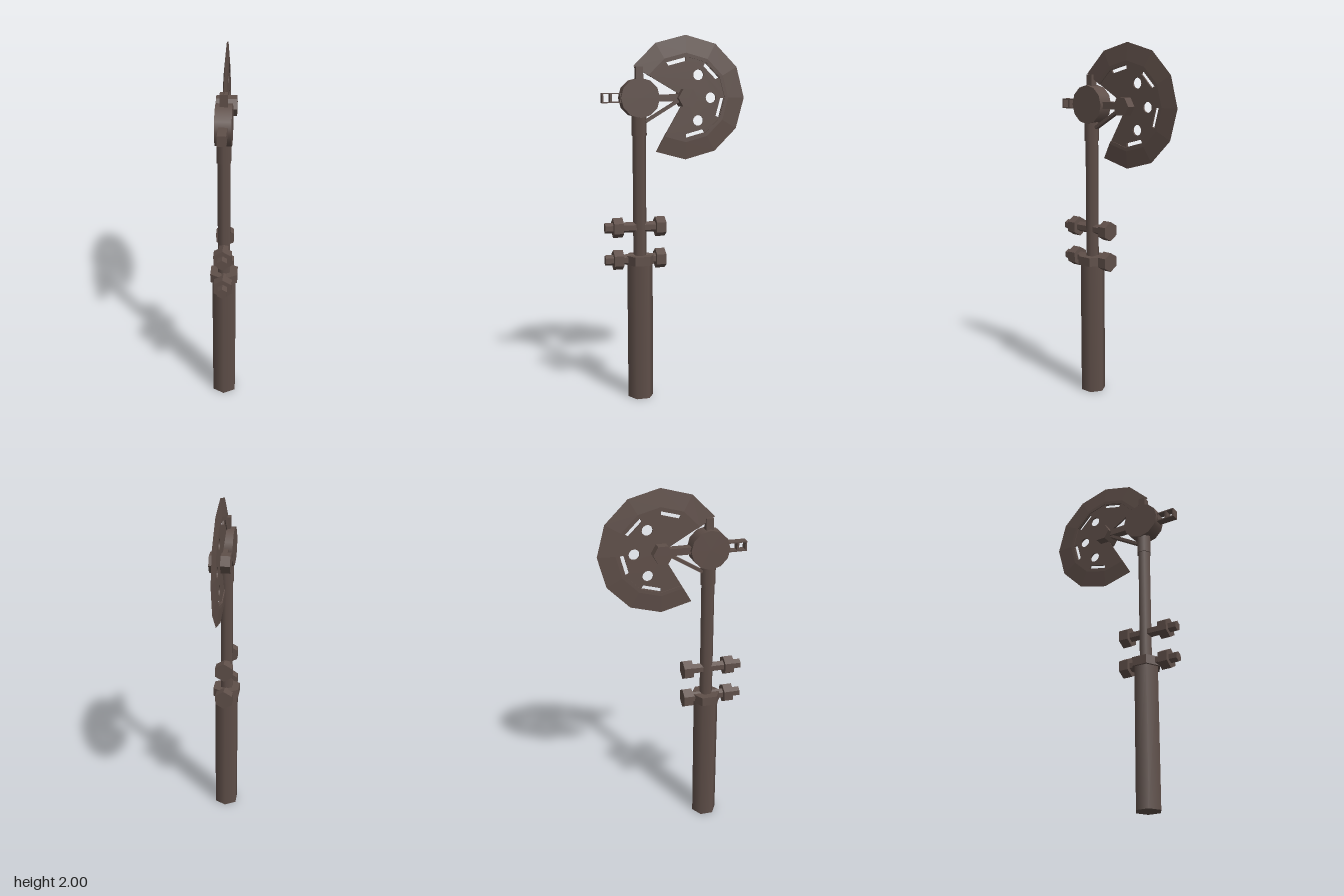
import * as THREE from 'three';

const RAD = Math.PI / 180;
const AXIS = 0.195; // z of the shaft
const HUB = { y: 1.666, z: -0.064 }; // centre of the blade

export function createModel() {
  const group = new THREE.Group();
  const metal = new THREE.MeshStandardMaterial({ color: 0x5f4f49, side: THREE.DoubleSide });
  metal.name = 'darkBrownMetal';

  const add = (name, geo, x = 0, y = 0, z = 0) => {
    const mesh = new THREE.Mesh(geo, metal);
    mesh.name = name;
    mesh.position.set(x, y, z);
    group.add(mesh);
    return mesh;
  };
  const flat = (geo) => {
    const g = geo.index ? geo.toNonIndexed() : geo;
    g.computeVertexNormals();
    return g;
  };
  // upright hexagonal bar between two heights
  const upright = (name, r, y0, y1, faceted = false) => {
    const geo = new THREE.CylinderGeometry(r, r, y1 - y0, 6);
    return add(name, faceted ? flat(geo) : geo, 0, (y0 + y1) / 2, AXIS);
  };
  // hexagonal bar along z, corners at top and bottom
  const alongZ = (name, r, z0, z1, y) =>
    add(name, flat(new THREE.CylinderGeometry(r, r, z1 - z0, 6).rotateX(Math.PI / 2)), 0, y, (z0 + z1) / 2);
  // side-on shape (u towards the back, v up) extruded across x
  const sidePlate = (shape, width) =>
    new THREE.ExtrudeGeometry(shape, { depth: width, bevelEnabled: false, curveSegments: 8 })
      .translate(0, 0, -width / 2).rotateY(Math.PI / 2);
  const polygon = (Type, pts) => new Type(pts.map(([u, v]) => new THREE.Vector2(u, v)));
  const rect = (Type, u0, u1, v0, v1) => polygon(Type, [[u0, v0], [u1, v0], [u1, v1], [u0, v1]]);
  const polar = (r, deg) => [r * Math.cos(deg * RAD), r * Math.sin(deg * RAD)];

  // Handle and shaft
  upright('handle', 0.0715, 0, 0.77);
  upright('collar', 0.084, 0.76, 0.81, true);
  upright('shaft', 0.037, 0.8, 1.48);
  upright('sleeve', 0.042, 1.465, 1.58);

  // Cross bolts with a hexagonal head at each end
  for (const y of [0.788, 0.966]) {
    alongZ('boltBar', 0.029, 0.08, 0.39, y);
    alongZ('frontBoltHead', 0.055, 0.292, 0.345, y);
    alongZ('backBoltHead', 0.055, 0.056, 0.109, y);
  }

  // Round head with top post
  add('head', new THREE.CylinderGeometry(0.106, 0.106, 0.085, 12).rotateZ(Math.PI / 2), 0, HUB.y, AXIS);
  add('topPost', new THREE.BoxGeometry(0.04, 0.09, 0.04), 0, 1.785, AXIS);

  // Open frame at the front of the head
  const frame = rect(THREE.Shape, -0.4, -0.28, -0.027, 0.027);
  frame.holes.push(rect(THREE.Path, -0.392, -0.356, -0.02, 0.02), rect(THREE.Path, -0.345, -0.302, -0.02, 0.02));
  add('frontFrame', sidePlate(frame, 0.045), 0, HUB.y, 0);

  // Arm, diagonal brace and hub
  add('arm', new THREE.BoxGeometry(0.045, 0.038, 0.16), 0, HUB.y, 0.03);
  const brace = add('brace', new THREE.BoxGeometry(0.03, 0.016, 0.22), 0, 1.597, 0.066);
  brace.rotation.x = Math.atan2(0.105, 0.174);
  const hub = new THREE.CylinderGeometry(0.054, 0.054, 0.11, 6).rotateY(Math.PI / 2).rotateZ(Math.PI / 2);
  hub.computeBoundingBox();
  // corners point forwards and backwards
  if (hub.boundingBox.max.z < hub.boundingBox.max.y) hub.rotateX(Math.PI / 2);
  add('hub', flat(hub), 0, HUB.y, HUB.z);

  // Inner blade plate with a quarter missing, round holes and slots
  const pts = [[0, 0]];
  for (let a = -120; a <= 150; a += 30) pts.push(polar(0.225, a));
  const plate = polygon(THREE.Shape, pts);
  for (const a of [-60, 0, 60]) {
    const [u, v] = polar(0.142, a);
    plate.holes.push(new THREE.Path().absarc(u, v, 0.029, 0, Math.PI * 2));
  }
  for (const a of [-75, -15, 45, 105]) {
    const c = Math.cos(a * RAD), s = Math.sin(a * RAD);
    const corners = [[0.19, -0.057], [0.21, -0.057], [0.21, 0.057], [0.19, 0.057]];
    // slightly shorter on the inside so that the slot follows the rim
    plate.holes.push(polygon(THREE.Path, corners.map(([r, t]) => {
      const w = t * (r < 0.2 ? 0.88 : 0.97);
      return [r * c - w * s, r * s + w * c];
    })));
  }
  add('bladePlate', sidePlate(plate, 0.01), 0, HUB.y, HUB.z);

  // Outer cutting ring, twelve-sided and tapering to an edge
  const profile = [[0.221, -0.0095], [0.24, -0.0095], [0.335, 0], [0.24, 0.0095], [0.221, 0.0095], [0.221, -0.0095]]
    .map(([r, y]) => new THREE.Vector2(r, y));
  const toSide = (geo) => geo.rotateX(Math.PI / 2).rotateY(Math.PI / 2);
  const ring = new THREE.LatheGeometry(profile, 9, -30 * RAD, 270 * RAD);
  add('cuttingRing', flat(toSide(ring)), 0, HUB.y, HUB.z);
  for (const phi of [-30, 240]) {
    const cap = new THREE.ShapeGeometry(new THREE.Shape(profile.slice(0, 5))).rotateY((phi - 90) * RAD);
    add('cuttingRingEnd', toSide(cap), 0, HUB.y, HUB.z);
  }

  return group;
}
